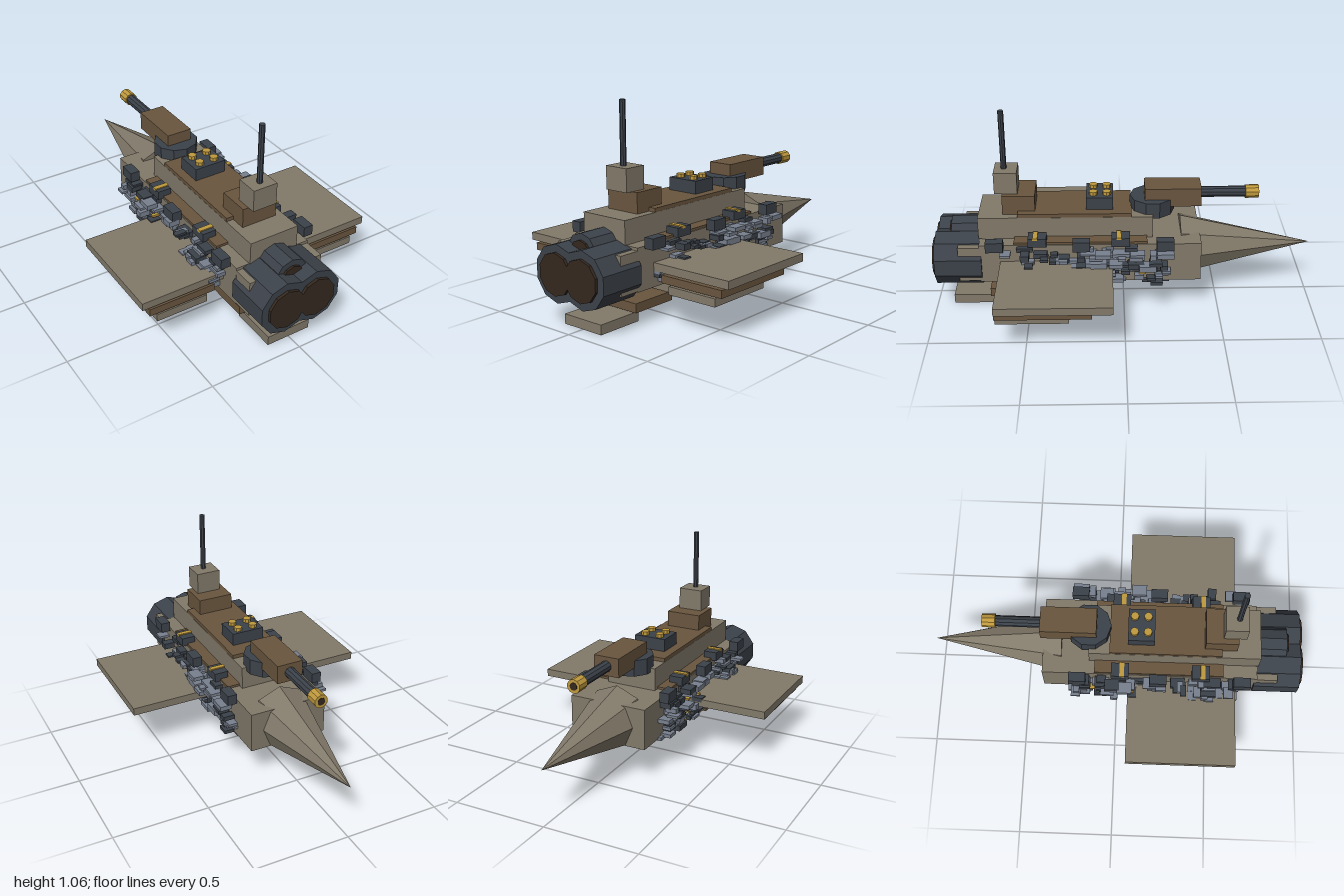
import * as THREE from 'three';

const mat = (color) => new THREE.MeshStandardMaterial({ color, flatShading: true });

export function createModel() {
  const ship = new THREE.Group();
  ship.name = 'spaceship';
  const tan = mat(0x827a6a), brown = mat(0x6a563f), dark = mat(0x3c424a);
  const slate = mat(0x79818f), gold = mat(0xc09a3e), glow = mat(0x35281f);

  const add = (name, geometry, material, x = 0, y = 0, z = 0) => {
    const mesh = new THREE.Mesh(geometry, material);
    mesh.name = name;
    mesh.position.set(x, y, z);
    ship.add(mesh);
    return mesh;
  };
  // Box given by its limits on each axis
  const box = (name, material, [x0, x1], [y0, y1], [z0, z1]) =>
    add(name, new THREE.BoxGeometry(x1 - x0, y1 - y0, z1 - z0), material,
      (x0 + x1) / 2, (y0 + y1) / 2, (z0 + z1) / 2);
  const slab = (name, material, w, y, z) => box(name, material, [-w, w], y, z);
  // Cylinder lying along z
  const tubeZ = (name, material, r, x, y, z0, z1, sides) => {
    const g = new THREE.CylinderGeometry(r, r, z1 - z0, sides).rotateX(Math.PI / 2);
    return add(name, g, material, x, y, (z0 + z1) / 2);
  };

  // Hull and decks
  slab('hull', tan, 0.21, [0.185, 0.4], [-0.4, 0.75]);
  slab('rearHull', tan, 0.209, [0.19, 0.385], [0.75, 0.86]);
  slab('sideDeck', brown, 0.205, [0.395, 0.412], [-0.12, 0.57]);
  slab('upperDeck', tan, 0.137, [0.4, 0.52], [-0.15, 0.757]);
  slab('deckPlate', brown, 0.136, [0.52, 0.54], [-0.04, 0.55]);

  // Pointed nose
  const nose = new THREE.ConeGeometry(0.167, 0.7, 8).rotateX(-Math.PI / 2);
  add('nose', nose, tan, 0, 0.29, -0.65);

  // Bridge tower with mast
  slab('towerBase', brown, 0.097, [0.52, 0.625], [0.46, 0.63]);
  slab('towerTop', tan, 0.067, [0.625, 0.742], [0.55, 0.67]);
  add('mast', new THREE.CylinderGeometry(0.015, 0.015, 0.32, 8), dark, 0, 0.9, 0.62);

  // Launcher block with four caps
  slab('launcher', dark, 0.088, [0.54, 0.607], [0.055, 0.195]);
  for (const x of [-0.043, 0.043])
    for (const z of [0.088, 0.158])
      add('launcherCap', new THREE.CylinderGeometry(0.022, 0.022, 0.02, 8), gold, x, 0.616, z);

  // Gun turret
  add('turretBase', new THREE.CylinderGeometry(0.117, 0.117, 0.085, 10), dark, 0, 0.54, -0.15);
  slab('turretHousing', brown, 0.07, [0.545, 0.645], [-0.405, -0.11]);
  tubeZ('barrel', dark, 0.029, 0, 0.596, -0.66, -0.38, 10);
  tubeZ('muzzle', gold, 0.036, 0, 0.596, -0.71, -0.64, 10);
  tubeZ('bore', glow, 0.02, 0, 0.596, -0.712, -0.7, 10);

  // Engines
  for (const s of [-1, 1]) {
    tubeZ('engine', dark, 0.145, s * 0.085, 0.273, 0.74, 0.985, 10);
    tubeZ('engineGlow', glow, 0.106, s * 0.085, 0.273, 0.95, 1, 10);
  }
  tubeZ('upperEngine', dark, 0.095, 0, 0.373, 0.74, 0.905, 10);
  tubeZ('upperEngineGlow', glow, 0.063, 0, 0.373, 0.88, 0.917, 10);

  // Stepped belly plates
  slab('bellyPlate', tan, 0.19, [0.117, 0.165], [0.255, 0.505]);
  slab('bellyPlate', brown, 0.155, [0.06, 0.107], [0.455, 0.71]);
  slab('bellyPlate', tan, 0.122, [0, 0.05], [0.66, 0.91]);

  // Three-tier wings and roof modules, mirrored
  for (const s of [-1, 1]) {
    const side = (name, m, x0, x1, y, z) =>
      box(name, m, s > 0 ? [x0, x1] : [-x1, -x0], y, z);
    side('wing', tan, 0.2, 0.661, [0.265, 0.306], [0.06, 0.642]);
    side('wingMiddle', brown, 0.262, 0.624, [0.217, 0.256], [0.165, 0.645]);
    side('wingLower', tan, 0.305, 0.585, [0.168, 0.209], [0.28, 0.645]);
    for (const z of [0.02, 0.45]) {
      side('roofModule', dark, 0.16, 0.235, [0.4, 0.447], [z - 0.05, z + 0.045]);
      side('roofModuleStripe', gold, 0.158, 0.237, [0.44, 0.453], [z - 0.005, z + 0.02]);
    }
    for (const z of [-0.21, 0.22, 0.665])
      side('sideModule', dark, 0.218, 0.27, [0.39, 0.445], [z - 0.045, z + 0.045]);
  }

  // Small machinery scattered on the flanks and belly
  let seed = 11;
  const rand = (a, b) => {
    seed = (seed * 16807) % 2147483647;
    return a + (b - a) * (seed / 2147483647);
  };
  const pick = () => {
    const r = rand(0, 1);
    return r < 0.62 ? slate : r < 0.96 ? dark : gold;
  };
  for (const s of [-1, 1])
    for (let i = 0; i < 120; i++) {
      const y = rand(0.185, 0.39), z = rand(-0.23, 0.62);
      const reach = rand(0.225, y > 0.28 ? 0.32 : 0.27);
      const d = Math.min(reach - 0.195, 0.06);
      const m = pick(), small = m === gold ? 0.4 : 1;
      add('flankDetail', new THREE.BoxGeometry(d, rand(0.012, 0.032) * small, rand(0.03, 0.09) * small),
        m, s * (reach - d / 2), y, z);
    }
  for (let i = 0; i < 110; i++)
    add('bellyDetail', new THREE.BoxGeometry(rand(0.02, 0.06), rand(0.015, 0.035), rand(0.03, 0.09)),
      rand(0, 1) < 0.45 ? slate : dark, rand(-0.2, 0.2), 0.185, rand(-0.23, 0.5));

  return ship;
}
